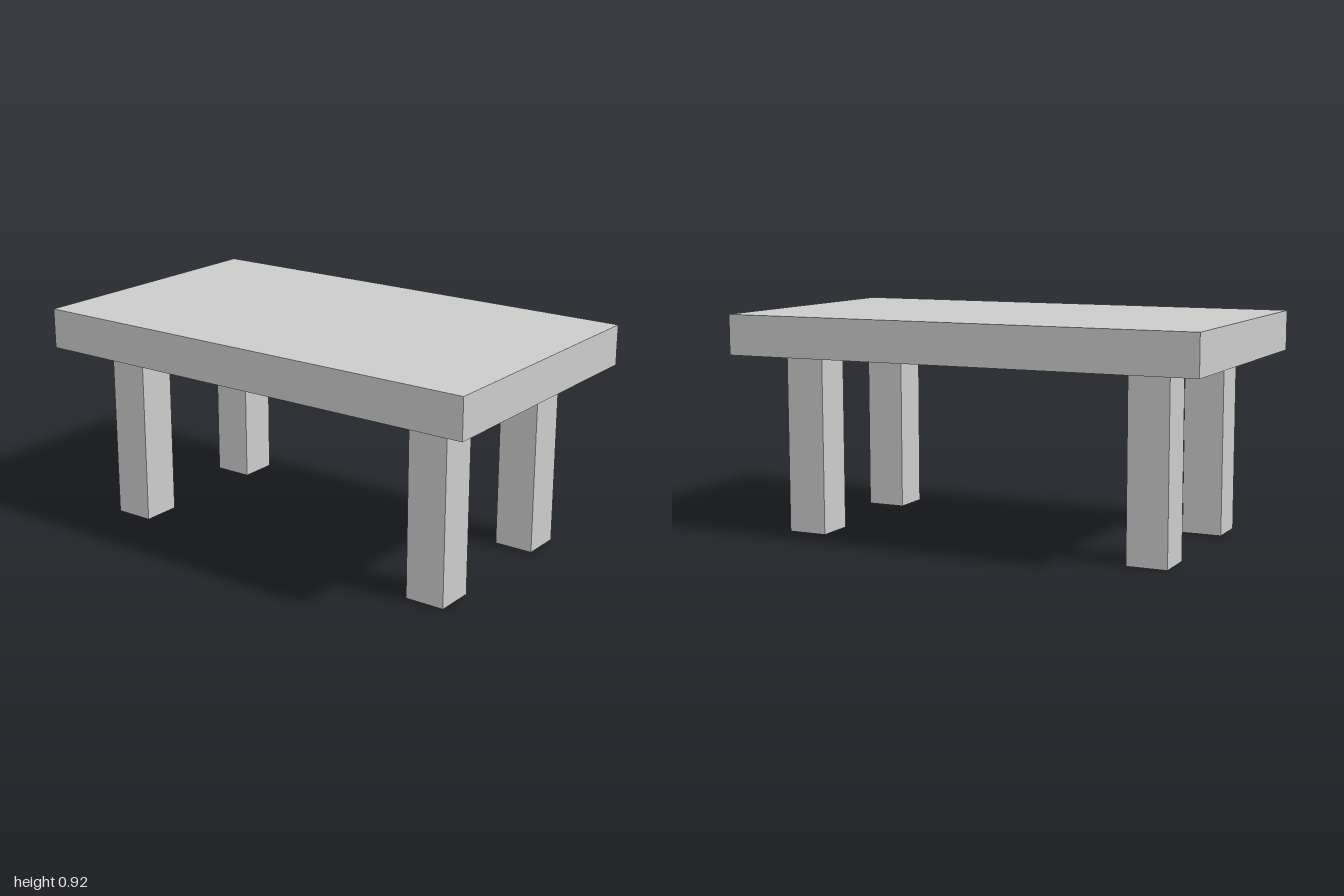
import * as THREE from 'three';

const U = 1 / 12; // base measure: all sizes are whole multiples of it

export function createModel() {
  const table = new THREE.Group();
  table.name = 'table';
  const material = new THREE.MeshStandardMaterial({ color: 0xcccccc, flatShading: true });

  // Box of given size, standing with its bottom at height y
  const addBox = (name, w, h, d, x, y, z) => {
    const mesh = new THREE.Mesh(new THREE.BoxGeometry(w * U, h * U, d * U), material);
    mesh.name = name;
    mesh.position.set(x * U, (y + h / 2) * U, z * U);
    table.add(mesh);
  };

  // Thick slab top
  addBox('tableTop', 24, 2, 14, 0, 9, 0);

  // Four square legs, set in from the edges
  for (const [sideX, xName] of [[1, 'Left'], [-1, 'Right']]) {
    for (const [sideZ, zName] of [[1, 'front'], [-1, 'back']]) {
      addBox(`${zName}${xName}Leg`, 2, 9, 2, sideX * 9, 0, sideZ * 4);
    }
  }

  return table;
}
